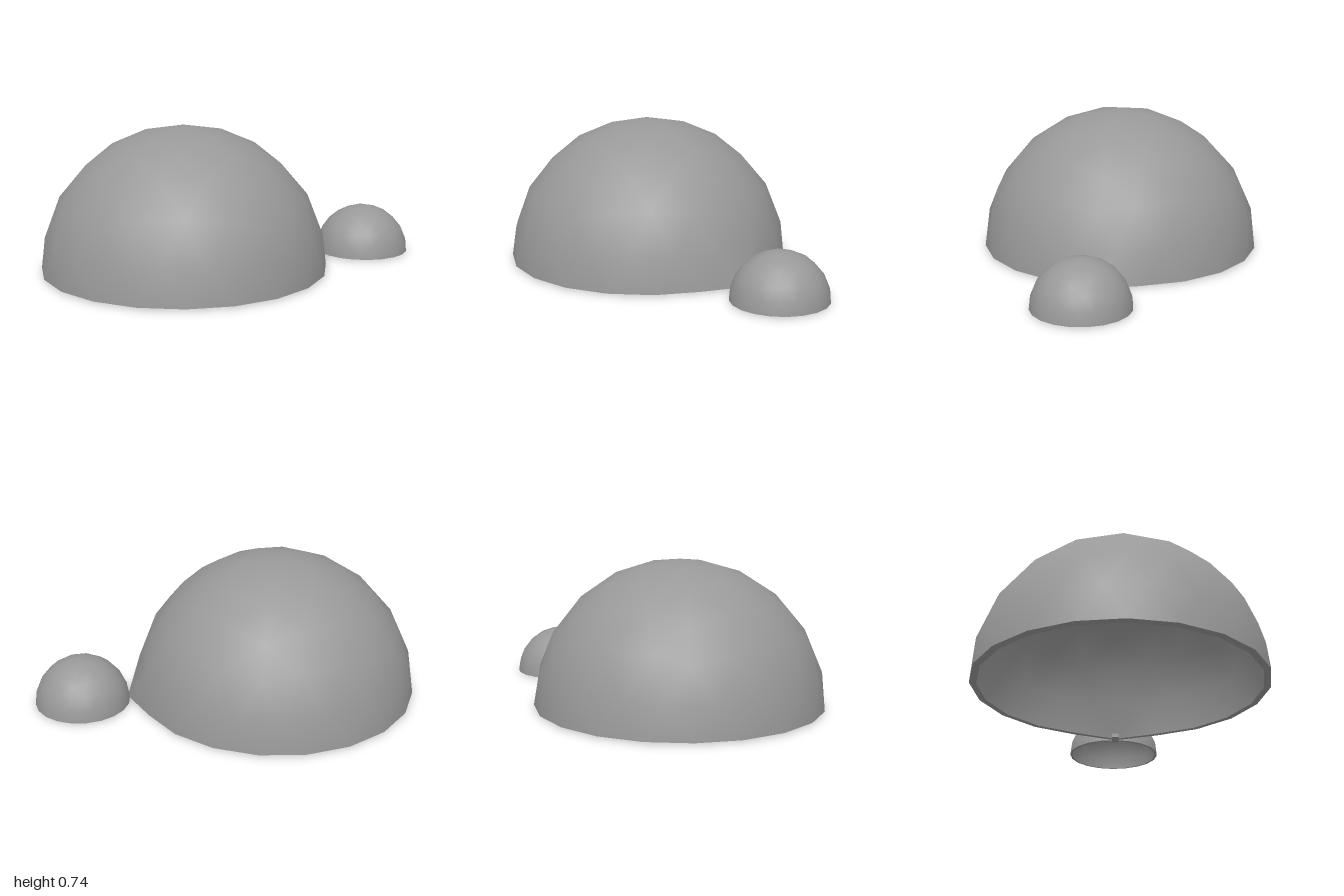
import * as THREE from 'three';
import { mergeVertices } from 'three/addons/utils/BufferGeometryUtils.js';

const material = new THREE.MeshStandardMaterial({ color: 0x999999 });
const STEP = Math.PI / 10; // the rim has 20 sides

const ring = (angle, y) => {
  const r = Math.sqrt(1 - y * y);
  return new THREE.Vector3(r * Math.cos(angle), y, r * Math.sin(angle));
};

// Point a fraction t along the great circle from a to b
function along(a, b, t) {
  const angle = a.angleTo(b);
  if (angle < 1e-6) return a.clone();
  return a.clone().multiplyScalar(Math.sin((1 - t) * angle))
    .addScaledVector(b, Math.sin(t * angle)).divideScalar(Math.sin(angle));
}

// Splits a spherical triangle into four rows running from its apex
function splitTriangle([apex, b, c]) {
  const rows = [];
  for (let k = 0; k <= 4; k++) {
    const p = along(apex, b, k / 4), q = along(apex, c, k / 4);
    rows.push(Array.from({ length: k + 1 }, (_, j) => along(p, q, k ? j / k : 0)));
  }
  const faces = [];
  for (let k = 0; k < 4; k++) {
    for (let j = 0; j <= k; j++) {
      faces.push([rows[k][j], rows[k + 1][j], rows[k + 1][j + 1]]);
      if (j < k) faces.push([rows[k][j], rows[k + 1][j + 1], rows[k][j + 1]]);
    }
  }
  return faces;
}

// Upper half of a unit icosphere with a pole on top
function halfIcosphere() {
  const h = 1 / Math.sqrt(5), top = new THREE.Vector3(0, 1, 0);
  const faces = [];
  for (let i = 0; i < 5; i++) {
    const a = i * 4 * STEP;
    const u0 = ring(a, h), u1 = ring(a + 4 * STEP, h);
    const l0 = ring(a - 2 * STEP, -h), l1 = ring(a + 2 * STEP, -h);
    faces.push([top, u1, u0], [l1, u0, u1], [u0, l1, l0]);
  }
  return faces.flatMap(splitTriangle).filter(([a, b, c]) => a.y + b.y + c.y > 0.01);
}

function meshFrom(name, faces) {
  const geometry = new THREE.BufferGeometry().setFromPoints(faces.flat());
  const smooth = mergeVertices(geometry, 1e-4);
  smooth.computeVertexNormals();
  const mesh = new THREE.Mesh(smooth, material);
  mesh.name = name;
  return mesh;
}

// Moves a unit point onto a shell; tip replaces the rim corner facing +x
const onShell = ({ radius, rimY, tip }) => (p) => {
  if (Math.abs(p.y) > 1e-4) return p.clone().multiplyScalar(radius);
  if (p.x > 0.999) return new THREE.Vector3(...tip);
  return new THREE.Vector3(p.x * radius, rimY, p.z * radius);
};

// Hollow dome: outer shell, inner shell and the rim between them
function dome(name, outer, inner) {
  const group = new THREE.Group();
  group.name = name;
  const half = halfIcosphere();
  const outerAt = onShell(outer), innerAt = onShell(inner);
  group.add(meshFrom('outerShell', half.map((f) => f.map(outerAt))));
  group.add(meshFrom('innerShell', half.map(([a, b, c]) => [a, c, b].map(innerAt))));
  const rim = [];
  for (let i = 0; i < 20; i++) {
    const p = ring(i * STEP, 0), q = ring((i + 1) * STEP, 0);
    rim.push([innerAt(p), outerAt(p), outerAt(q)], [innerAt(p), outerAt(q), innerAt(q)]);
  }
  group.add(meshFrom('rim', rim));
  return group;
}

export function createModel() {
  const model = new THREE.Group();

  // large dome with one rim corner drawn out to a spout
  const large = dome('largeDome',
    { radius: 0.735, rimY: 0, tip: [0.785, 0, 0] },
    { radius: 0.7, rimY: -0.004, tip: [0.745, -0.007, 0] });
  large.position.set(-0.265, 0.007, 0);

  const small = dome('smallDome',
    { radius: 0.245, rimY: 0, tip: [0.245, 0, 0] },
    { radius: 0.233, rimY: -0.001, tip: [0.233, -0.001, 0] });
  small.position.set(0.755, 0.004, 0);

  // short link joining the spout to the small dome
  const link = new THREE.Mesh(new THREE.BoxGeometry(0.09, 0.02, 0.035), material);
  link.name = 'link';
  link.position.set(0.495, 0.01, 0);

  model.add(large, small, link);
  return model;
}
